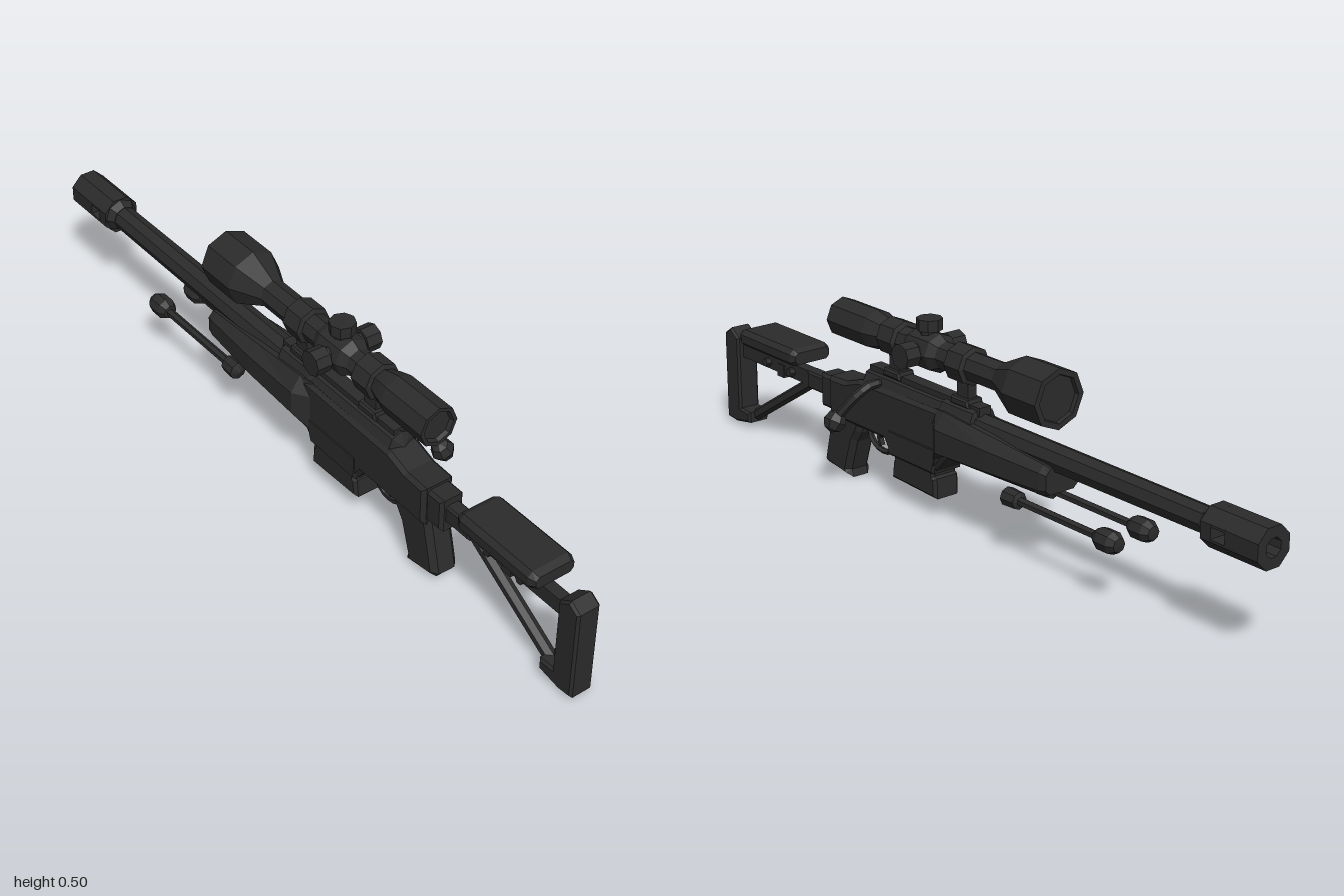
import * as THREE from 'three';

const metal = new THREE.MeshStandardMaterial({ color: 0x2b2b2b });
metal.name = 'dark gunmetal';

// faceted normals for the low-poly look
function flat(geo) {
  const g = geo.index ? geo.toNonIndexed() : geo;
  g.computeVertexNormals();
  return g;
}

export function createModel() {
  const root = new THREE.Group();
  root.name = 'rifle';
  const body = new THREE.Group();
  body.name = 'rifleBody';
  body.position.x = -0.034;
  root.add(body);

  const add = (name, geo) => {
    const m = new THREE.Mesh(flat(geo), metal);
    m.name = name;
    body.add(m);
    return m;
  };
  // box from centre and size
  const box = (name, x, y, z, w, h, d) =>
    add(name, new THREE.BoxGeometry(w, h, d).translate(x, y, z));
  // turned part along z, profile of [radius, z] with rising z
  const turned = (name, x, y, profile, sides = 8) =>
    add(name, new THREE.LatheGeometry(profile.map(p => new THREE.Vector2(...p)), sides)
      .rotateX(Math.PI / 2).translate(x, y, 0));
  // side outline of [z, y] points, thickened along x with chamfered edges
  const side = (name, pts, width, bevel = 0, holes = []) => {
    const s = new THREE.Shape(pts.map(p => new THREE.Vector2(...p)));
    holes.forEach(h => s.holes.push(new THREE.Path(h.map(p => new THREE.Vector2(...p)))));
    const depth = width - 2 * bevel;
    return add(name, new THREE.ExtrudeGeometry(s, {
      depth, bevelEnabled: bevel > 0, bevelSize: bevel, bevelOffset: -bevel,
      bevelThickness: bevel, bevelSegments: 1,
    }).rotateY(-Math.PI / 2).translate(depth / 2, 0, 0));
  };
  // cross-section of [x, y] points extruded from z0 to z1
  const prism = (name, pts, z0, z1, hole) => {
    const s = new THREE.Shape(pts.map(p => new THREE.Vector2(...p)));
    if (hole) s.holes.push(new THREE.Path(hole.map(p => new THREE.Vector2(...p))));
    return add(name, new THREE.ExtrudeGeometry(s, { depth: z1 - z0, bevelEnabled: false })
      .translate(0, 0, z0));
  };
  // round bar between two points
  const bar = (name, a, b, r, sides = 6) => {
    const A = new THREE.Vector3(...a), B = new THREE.Vector3(...b), d = B.clone().sub(A);
    const g = new THREE.CylinderGeometry(r, r, d.length(), sides);
    g.applyQuaternion(new THREE.Quaternion().setFromUnitVectors(new THREE.Vector3(0, 1, 0), d.normalize()));
    return add(name, g.translate(...A.add(B).multiplyScalar(0.5).toArray()));
  };
  // loft through chamfered sections: [z, top half width, half width, top, shoulder, hip, bottom]
  const loft = (name, secs) => {
    const pos = [], rings = secs.map(([z, t, w, y3, y2, y1, y0]) => [
      [t, y0], [w, y1], [w, y2], [t, y3], [-t, y3], [-w, y2], [-w, y1], [-t, y0],
    ].map(([x, y]) => [x, y, z]));
    const tri = (...v) => v.forEach(p => pos.push(...p));
    for (let k = 0; k < rings.length - 1; k++) {
      for (let i = 0; i < 8; i++) {
        const j = (i + 1) % 8, a = rings[k], b = rings[k + 1];
        tri(a[i], a[j], b[j]);
        tri(a[i], b[j], b[i]);
      }
    }
    const first = rings[0], last = rings[rings.length - 1];
    for (let i = 1; i < 7; i++) {
      tri(first[0], first[i + 1], first[i]);
      tri(last[0], last[i], last[i + 1]);
    }
    const g = new THREE.BufferGeometry();
    g.setAttribute('position', new THREE.Float32BufferAttribute(pos, 3));
    return add(name, g);
  };

  // barrel and muzzle brake with a cross port
  const by = 0.284;
  turned('barrel', 0, by, [[0, -0.86], [0.032, -0.86], [0.035, -0.06], [0, -0.06]]);
  const octagon = r => Array.from({ length: 8 }, (_, i) => {
    const a = (i + 0.5) * Math.PI / 4;
    return [r * Math.cos(a), by + r * Math.sin(a)];
  });
  const outer = octagon(0.052);
  prism('muzzleBrakeFront', outer, -1, -0.905, octagon(0.024));
  turned('muzzleBore', 0, by, [[0, -0.92], [0.03, -0.92], [0.03, -0.906], [0, -0.906]]);
  prism('muzzleBrakeRear', outer, -0.865, -0.835);
  turned('muzzleCollar', 0, by, [[0, -0.845], [0.046, -0.835], [0.034, -0.815], [0, -0.815]]);
  for (const s of [1, -1]) {
    const wall = [[-0.048, by + s * 0.014], [0.048, by + s * 0.014], [0.048, by + s * 0.02],
      [0.02, by + s * 0.048], [-0.02, by + s * 0.048], [-0.048, by + s * 0.02]];
    prism(s > 0 ? 'muzzleBrakeTop' : 'muzzleBrakeBottom', wall, -0.905, -0.865);
  }
  // barrel stops short of the port
  body.getObjectByName('barrel').geometry = flat(new THREE.CylinderGeometry(0.035, 0.032, 0.785, 8)
    .rotateX(Math.PI / 2).translate(0, by, -0.4525));

  // receiver, action and rail
  side('receiver', [[0.5, 0.165], [0.5, 0.272], [0.43, 0.275], [0.37, 0.295], [-0.02, 0.3],
    [0.03, 0.18], [0.07, 0.135], [0.25, 0.135], [0.27, 0.165]], 0.09, 0.01);
  side('receiverTail', [[0.55, 0.175], [0.55, 0.265], [0.49, 0.265], [0.49, 0.175]], 0.066, 0.008);
  turned('action', 0, 0.292, [[0, -0.075], [0.043, -0.065], [0.043, 0.05], [0.037, 0.06], [0.037, 0.36], [0, 0.375]]);
  box('rail', 0, 0.325, 0.14, 0.036, 0.022, 0.43);
  loft('forearm', [
    [-0.35, 0.036, 0.05, 0.27, 0.255, 0.218, 0.205],
    [-0.33, 0.038, 0.055, 0.275, 0.258, 0.215, 0.198],
    [-0.15, 0.044, 0.07, 0.293, 0.265, 0.213, 0.195],
    [0.03, 0.044, 0.072, 0.305, 0.265, 0.205, 0.19],
    [0.07, 0.035, 0.045, 0.3, 0.265, 0.17, 0.15],
  ]);

  // magazine
  side('magazine', [[0.24, 0.19], [0.075, 0.19], [0.078, 0.12], [0.07, 0.115], [0.068, 0.062],
    [0.245, 0.068], [0.24, 0.115], [0.235, 0.12]], 0.078, 0.008);
  side('magazineWell', [[0.25, 0.2], [0.25, 0.13], [0.07, 0.13], [0.05, 0.2]], 0.094, 0.006);

  // trigger, guard and pistol grip
  const guard = new THREE.CatmullRomCurve3([[0.385, 0.17], [0.375, 0.13], [0.345, 0.11],
    [0.305, 0.11], [0.28, 0.13], [0.268, 0.17]].map(([z, y]) => new THREE.Vector3(0, y, z)));
  add('triggerGuard', new THREE.TubeGeometry(guard, 10, 0.008, 5));
  side('trigger', [[0.335, 0.17], [0.345, 0.14], [0.335, 0.12], [0.328, 0.122], [0.335, 0.14], [0.318, 0.17]], 0.014);
  side('pistolGrip', [[0.505, 0.18], [0.375, 0.18], [0.385, 0.145], [0.405, 0.115],
    [0.432, 0.03], [0.425, 0.01], [0.53, 0.022], [0.54, 0.035]], 0.074, 0.014);

  // bolt and its handle
  const boltPath = new THREE.CatmullRomCurve3([[0.02, 0.3, 0.3], [0.055, 0.305, 0.3],
    [0.088, 0.283, 0.312], [0.114, 0.245, 0.335], [0.132, 0.21, 0.355]].map(p => new THREE.Vector3(...p)));
  add('boltHandle', new THREE.TubeGeometry(boltPath, 8, 0.012, 6));
  const knob = add('boltKnob', new THREE.SphereGeometry(0.03, 7, 4));
  knob.position.set(0.13, 0.209, 0.355);
  knob.rotation.z = 0.5;

  // skeleton stock
  box('stockTube', 0, 0.226, 0.75, 0.03, 0.04, 0.42);
  side('stockCollar', [[0.63, 0.2], [0.63, 0.247], [0.54, 0.247], [0.54, 0.2]], 0.04, 0.005);
  side('buttPlate', [[1, 0.02], [1, 0.265], [0.97, 0.285], [0.935, 0.262], [0.935, 0.06],
    [0.892, 0.058], [0.892, 0.028], [0.96, 0.016]], 0.064, 0.006);
  bar('stockStrut', [0, 0.045, 0.9], [0, 0.218, 0.62], 0.016);
  loft('cheekRest', [
    [0.63, 0.045, 0.054, 0.3, 0.292, 0.278, 0.268],
    [0.645, 0.05, 0.062, 0.308, 0.295, 0.273, 0.262],
    [0.87, 0.05, 0.062, 0.308, 0.295, 0.273, 0.262],
    [0.888, 0.045, 0.054, 0.3, 0.292, 0.278, 0.268],
  ]);
  for (const z of [0.7, 0.81]) {
    box('cheekRestPost', 0, 0.25, z, 0.02, 0.05, 0.025);
    bar('cheekRestScrew', [-0.03, 0.225, z], [0.03, 0.225, z], 0.012);
  }
  box('cheekRestClamp', 0, 0.214, 0.755, 0.034, 0.035, 0.03);

  // scope
  const sy = 0.427;
  turned('scopeTube', 0, sy, [[0, -0.325], [0.058, -0.325], [0.06, -0.335], [0.075, -0.335], [0.075, -0.22],
    [0.037, -0.14], [0.037, 0.29], [0.046, 0.32], [0.052, 0.345], [0.052, 0.49], [0.042, 0.49], [0.038, 0.48], [0, 0.48]]);
  turned('turretHousing', 0, sy, [[0.036, 0.07], [0.05, 0.095], [0.05, 0.175], [0.036, 0.2]]);
  [[0, 1], [1, 0], [-1, 0]].forEach(([x, y]) => {
    const at = (d) => [x * d, sy + y * d, 0.136];
    bar('turretStem', at(0.03), at(0.06), 0.024, 8);
    const reach = y ? 0.081 : 0.093;
    bar('turretCap', at(0.052), at(reach), 0.033, 8);
  });
  for (const z of [0.26, -0.005]) {
    turned('scopeRing', 0, sy, [[0.034, z - 0.033], [0.049, z - 0.028], [0.049, z + 0.028], [0.034, z + 0.033]]);
    box('scopeMountPost', 0, 0.362, z, 0.026, 0.06, 0.042);
    side('scopeMountFoot', [[z + 0.035, 0.325], [z + 0.03, 0.346], [z - 0.03, 0.346], [z - 0.035, 0.325]], 0.052, 0.005);
  }

  // folded bipod legs
  for (const s of [1, -1]) {
    const x = s * 0.053;
    turned('bipodLeg', x, 0.168, [[0, -0.56], [0.011, -0.56], [0.011, -0.24], [0, -0.24]], 6);
    turned('bipodFoot', x, 0.168, [[0, -0.6], [0.018, -0.598], [0.028, -0.58], [0.028, -0.545], [0.018, -0.527], [0, -0.525]]);
    turned('bipodPivot', x, 0.168, [[0, -0.27], [0.022, -0.262], [0.024, -0.22], [0, -0.21]]);
  }
  return root;
}
